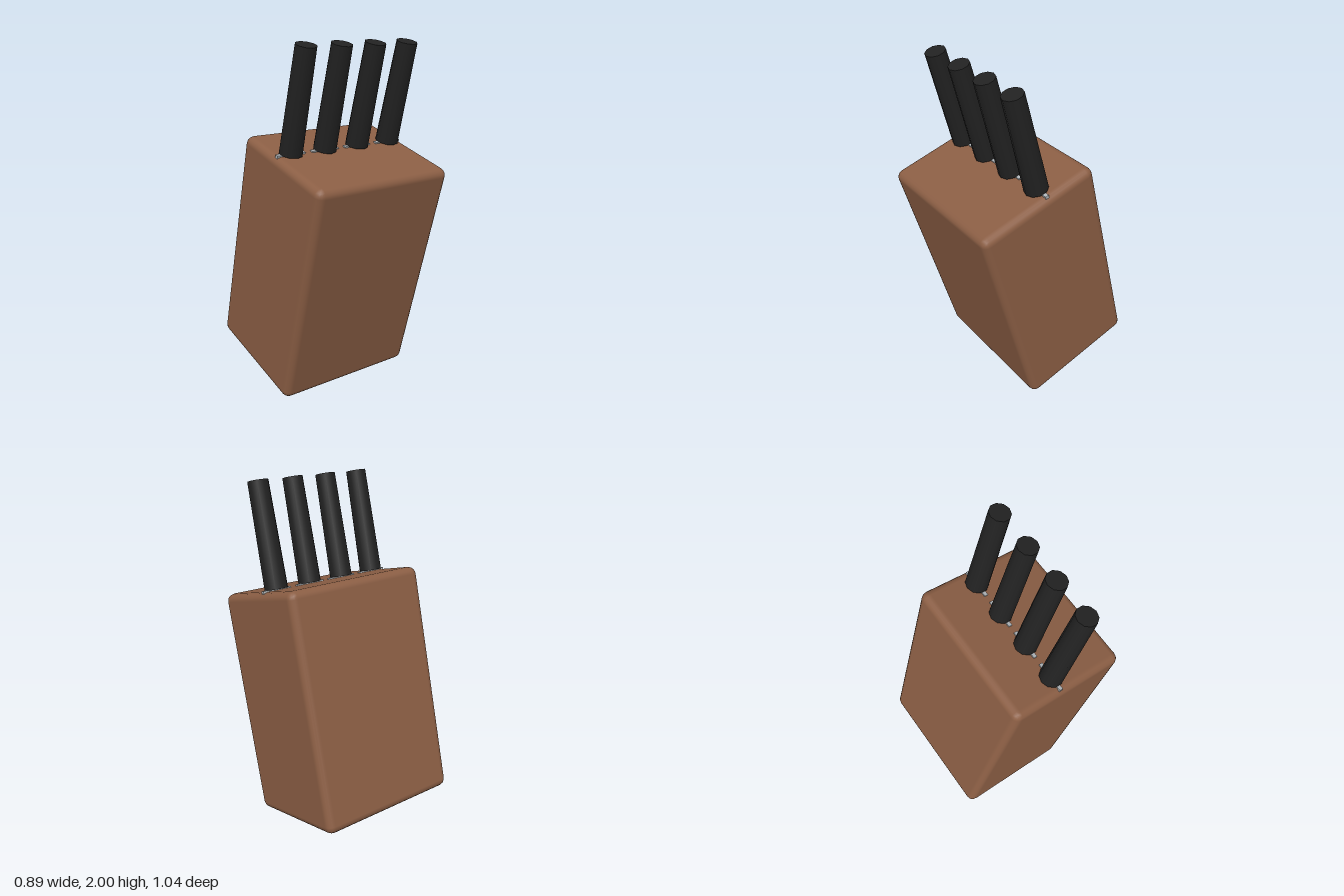
import * as THREE from 'three';
import { RoundedBoxGeometry } from 'three/addons/geometries/RoundedBoxGeometry.js';

export function createModel() {
  const wood = new THREE.MeshStandardMaterial({ color: 0x8b5e44 });
  wood.name = 'brown wood';
  const black = new THREE.MeshStandardMaterial({ color: 0x222222 });
  black.name = 'black handle';
  const steel = new THREE.MeshStandardMaterial({ color: 0xb0b6ba });
  steel.name = 'steel';

  const model = new THREE.Group();
  model.name = 'knifeBlock';

  // Everything leans forward together
  const leaning = new THREE.Group();
  leaning.name = 'leaningBlock';
  leaning.position.y = 0.7375;
  leaning.rotation.x = Math.PI / 12;
  model.add(leaning);

  const add = (parent, name, geometry, material, x, y, z) => {
    const mesh = new THREE.Mesh(geometry, material);
    mesh.name = name;
    mesh.position.set(x, y, z);
    parent.add(mesh);
  };

  // Wooden body with softened edges
  add(leaning, 'block', new RoundedBoxGeometry(0.89, 1.349, 0.742, 2, 0.045), wood, 0, 0, 0);

  // Row of knives: tapered handle above the protruding top of the blade
  const handle = new THREE.CylinderGeometry(0.059, 0.067, 0.594, 10);
  const blade = new THREE.BoxGeometry(0.18, 0.03, 0.022);
  for (let i = 0; i < 4; i++) {
    const knife = new THREE.Group();
    knife.name = 'knife' + (i + 1);
    knife.position.set((i - 1.5) * 0.2245, 0.6745, -0.062);
    add(knife, 'handle', handle, black, 0, 0.304, 0);
    add(knife, 'blade', blade, steel, 0, -0.007, 0);
    leaning.add(knife);
  }
  return model;
}
